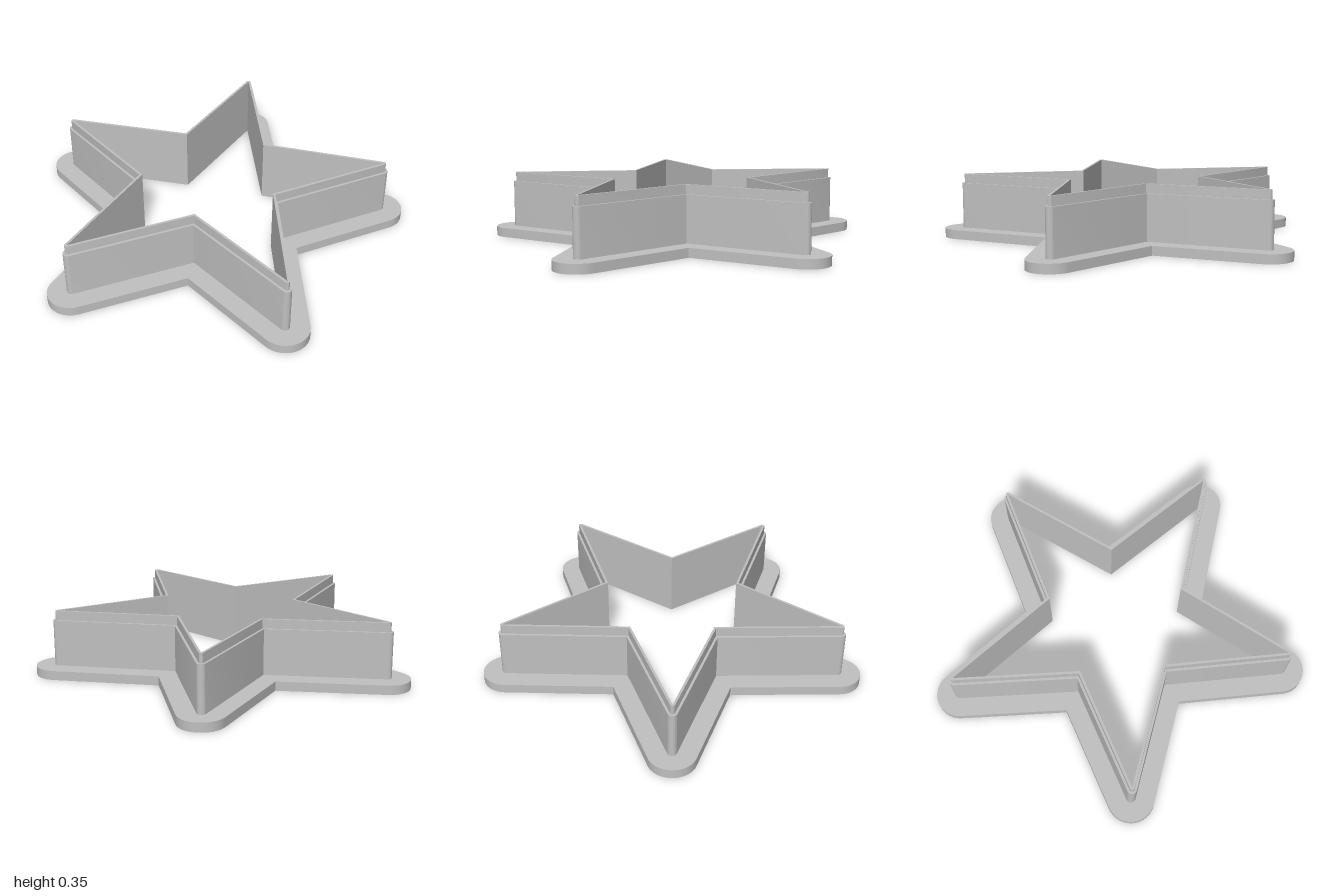
import * as THREE from 'three';
import { toCreasedNormals } from 'three/addons/utils/BufferGeometryUtils.js';

const TIP = 0.92;        // radius of the star tips
const NOTCH = 0.368;     // radius of the inward corners
const CENTRE_Y = -0.088; // star centre, so the outline is centred on z
const STEP = Math.PI / 5;

// Traces the star moved outwards by d: rounded tips, sharp inward corners.
function traceStar(path, d) {
  const run = TIP * Math.sin(STEP);
  const rise = TIP * Math.cos(STEP) - NOTCH;
  const sweep = STEP + Math.atan2(rise, run);
  const notch = NOTCH + d * Math.hypot(run, rise) / run;
  for (let i = 0; i < 5; i++) {
    const a = Math.PI / 2 + i * 2 * STEP;
    const x = TIP * Math.cos(a), y = CENTRE_Y + TIP * Math.sin(a);
    if (d > 0) path.absarc(x, y, d, a - sweep, a + sweep, false);
    else if (i === 0) path.moveTo(x, y);
    else path.lineTo(x, y);
    path.lineTo(notch * Math.cos(a + STEP), CENTRE_Y + notch * Math.sin(a + STEP));
  }
  path.closePath();
  return path;
}

// A star-shaped ring of the given thickness between two heights.
function starRing(name, thickness, bottom, top, material) {
  const shape = traceStar(new THREE.Shape(), thickness);
  shape.holes.push(traceStar(new THREE.Path(), 0));
  const extruded = new THREE.ExtrudeGeometry(shape, {
    depth: top - bottom, bevelEnabled: false, curveSegments: 10,
  });
  extruded.rotateX(-Math.PI / 2);
  extruded.translate(0, bottom, 0);
  const mesh = new THREE.Mesh(toCreasedNormals(extruded, 0.4), material);
  mesh.name = name;
  return mesh;
}

export function createModel() {
  const group = new THREE.Group();
  group.name = 'starCookieCutter';
  const plastic = new THREE.MeshStandardMaterial({ color: 0xc0c0c0 });
  plastic.name = 'grey plastic';

  group.add(
    starRing('baseFlange', 0.125, 0, 0.05, plastic),
    starRing('wall', 0.025, 0.05, 0.3, plastic),
    starRing('cuttingEdge', 0.0125, 0.3, 0.35, plastic),
  );
  return group;
}
